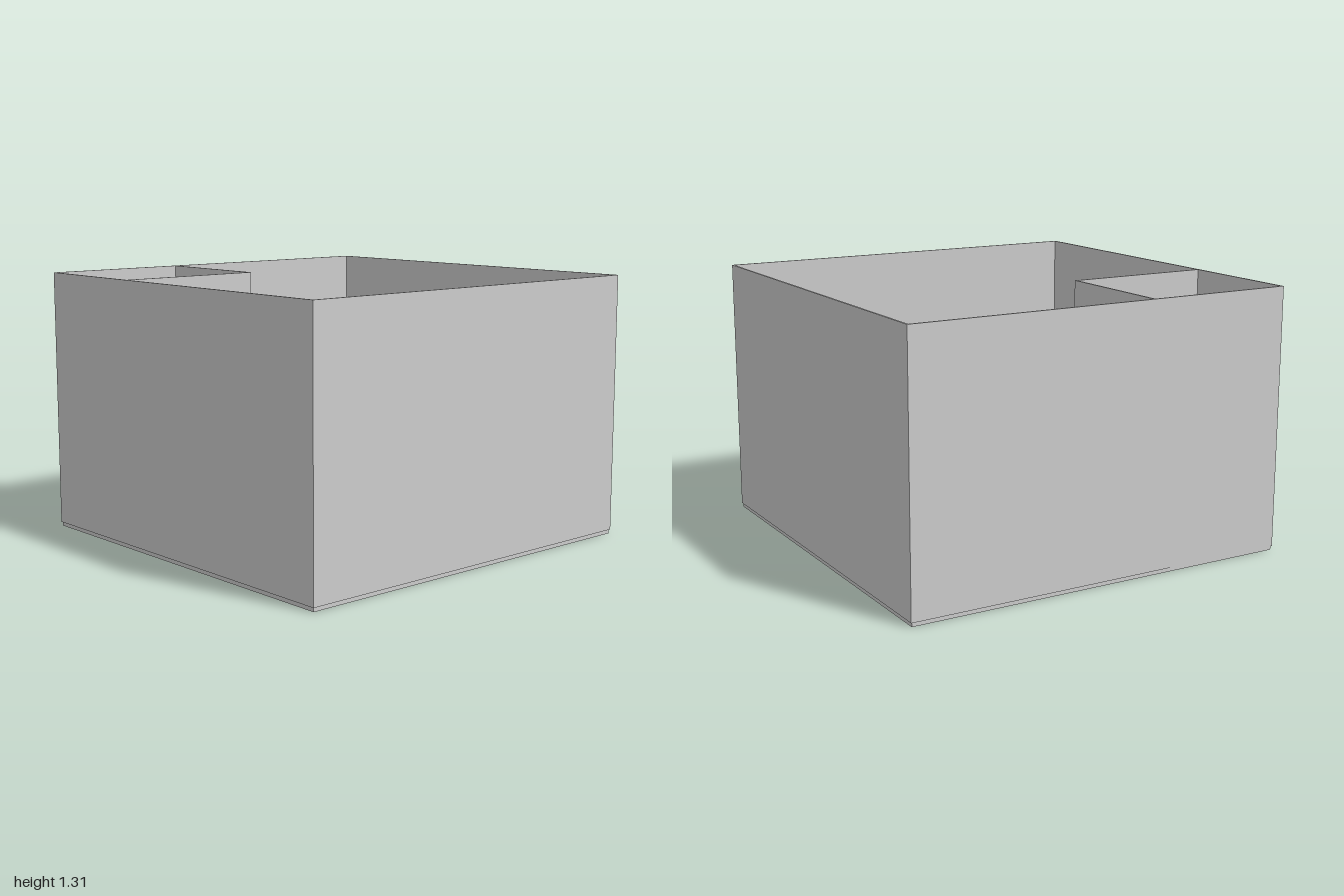
import * as THREE from 'three';

export function createModel() {
  const room = new THREE.Group();
  room.name = 'room';
  const grey = new THREE.MeshStandardMaterial({ color: 0xcccccc });
  grey.name = 'plain grey';

  // Box given by its extents on each axis
  const block = (name, x0, x1, y0, y1, z0, z1, parent = room) => {
    const mesh = new THREE.Mesh(new THREE.BoxGeometry(x1 - x0, y1 - y0, z1 - z0), grey);
    mesh.position.set((x0 + x1) / 2, (y0 + y1) / 2, (z0 + z1) / 2);
    mesh.name = name;
    parent.add(mesh);
  };

  const floorTop = 0.02, wallTop = 1.315, t = 0.01;

  // Floor slab, slightly inset under the walls
  block('floor', -0.995, 0.995, 0, floorTop, -0.995, 0.995);

  // Outer walls
  block('backWall', -1, 1, floorTop, wallTop, -1, -1 + t);
  block('frontWall', -1, 1, floorTop, wallTop, 1 - t, 1);
  block('rightWall', -1, -1 + t, floorTop, wallTop, -1 + t, 1 - t);
  block('leftWall', 1 - t, 1, floorTop, wallTop, -1 + t, 1 - t);

  // Bathroom partitions in the back corner
  block('bathroomFrontWall', -1 + t, -0.245, floorTop, wallTop, -0.36, -0.35);
  block('bathroomSideWall', -0.255, -0.245, floorTop, wallTop, -1 + t, -0.36);

  // Furniture blocks: name, x range, z range, height above the floor
  const furniture = new THREE.Group();
  furniture.name = 'furniture';
  room.add(furniture);
  [
    ['showerTray', -0.95, -0.60, -0.985, -0.64, 0.08],
    ['washbasin', -0.485, -0.29, -0.95, -0.75, 0.44],
    ['toilet', -0.65, -0.45, -0.63, -0.38, 0.23],
    ['fridge', -0.14, 0.13, -0.975, -0.745, 1.0],
    ['kitchenCounter', 0.30, 0.94, -0.975, -0.675, 0.48],
    ['bed', 0.345, 0.94, -0.18, 0.82, 0.26],
    ['desk', -0.975, -0.665, -0.30, 0.295, 0.4],
    ['sofa', -0.87, -0.08, 0.62, 0.97, 0.4],
  ].forEach(([name, x0, x1, z0, z1, h]) =>
    block(name, x0, x1, floorTop, floorTop + h, z0, z1, furniture));

  return room;
}
